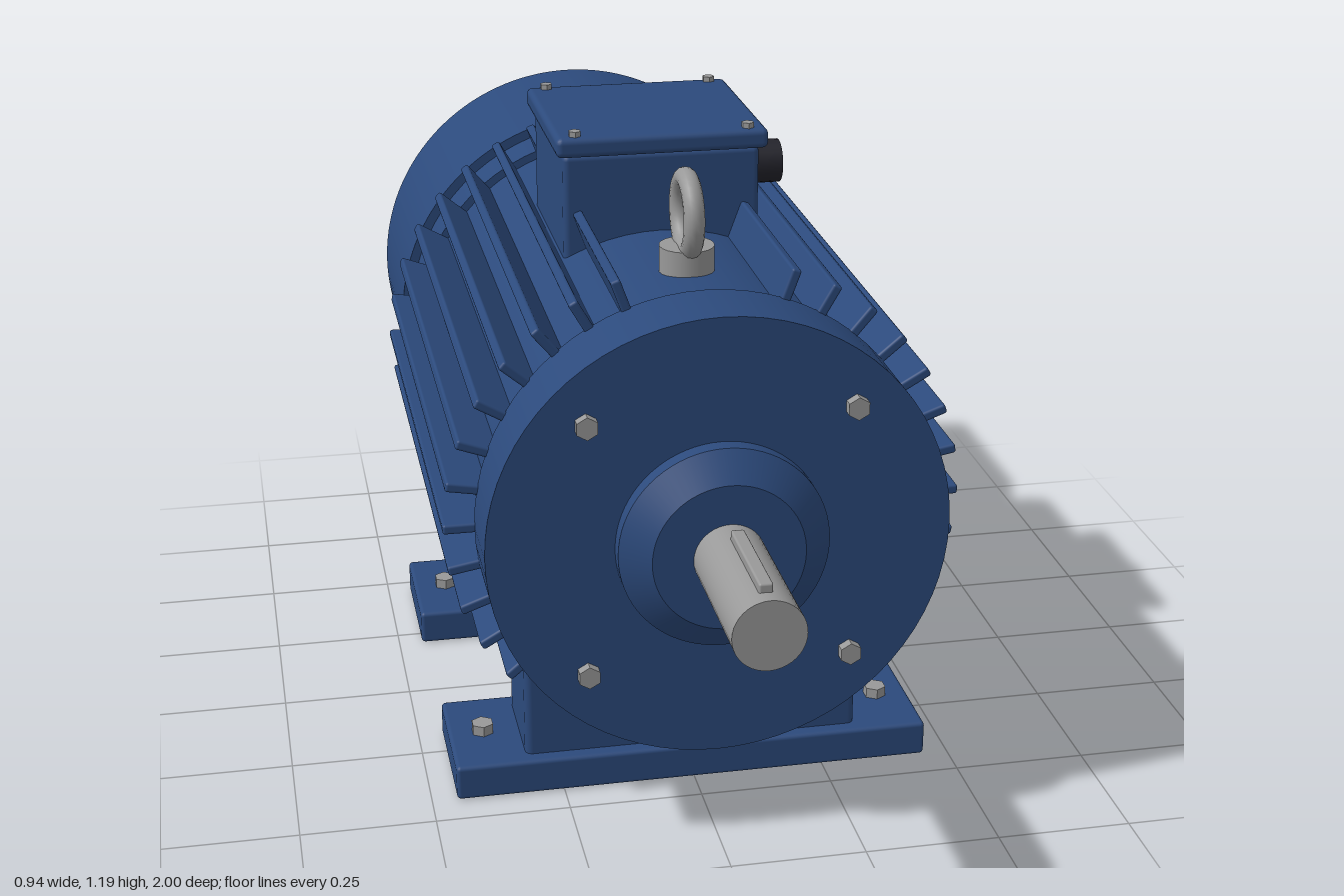
import * as THREE from 'three';
import { toCreasedNormals } from 'three/addons/utils/BufferGeometryUtils.js';
import { RoundedBoxGeometry } from 'three/addons/geometries/RoundedBoxGeometry.js';

const AXIS_Y = 0.59; // height of the shaft axis

export function createModel() {
  const model = new THREE.Group();
  model.name = 'electricMotor';

  const material = (name, color) => {
    const m = new THREE.MeshStandardMaterial({ color });
    m.name = name;
    return m;
  };
  const blue = material('bluePaint', 0x2c4a7c);
  const steel = material('steel', 0x999999);
  const black = material('blackPlastic', 0x24242c);
  const dark = material('grilleDark', 0x1c1c22);

  const add = (name, geometry, mat, x = 0, y = 0, z = 0, parent = model) => {
    const mesh = new THREE.Mesh(geometry, mat);
    mesh.name = name;
    mesh.position.set(x, y, z);
    parent.add(mesh);
    return mesh;
  };
  const box = (w, h, d, r = 0.008) => new RoundedBoxGeometry(w, h, d, 2, r);
  // Cylinder along z between two stations, with a front and a back radius
  const barrel = (name, zBack, zFront, rBack, rFront = rBack, mat = blue, sides = 72) => {
    const g = new THREE.CylinderGeometry(rFront, rBack, zFront - zBack, sides).rotateX(Math.PI / 2);
    return add(name, g, mat, 0, AXIS_Y, (zFront + zBack) / 2);
  };
  const hexHead = (r, h) => toCreasedNormals(new THREE.CylinderGeometry(r, r, h, 6), 0.5);

  // Main housing, end bells and shaft
  barrel('statorBody', -0.51, 0.51, 0.397);
  barrel('frontEndBell', 0.497, 0.638, 0.413);
  barrel('rearEndBell', -0.63, -0.503, 0.413);
  barrel('bearingHub', 0.63, 0.668, 0.187);
  barrel('bearingHubTaper', 0.668, 0.708, 0.187, 0.135);
  barrel('shaft', 0.69, 1, 0.063, 0.063, steel, 40);
  add('shaftKey', box(0.024, 0.03, 0.21, 0.004), steel, 0, AXIS_Y + 0.063, 0.865);

  // Cooling fins around both sides
  const fins = new THREE.Group();
  fins.name = 'coolingFins';
  fins.position.y = AXIS_Y;
  model.add(fins);
  const finGeometry = box(0.1, 0.018, 1.012, 0.005).translate(0.42, 0, 0);
  for (let deg = -40; deg <= 70; deg += 10) {
    for (const a of [deg, 180 - deg]) {
      add('coolingFin', finGeometry, blue, 0, 0, 0, fins).rotation.z = THREE.MathUtils.degToRad(a);
    }
  }

  // Bolts on the front end bell
  const bellBolt = hexHead(0.021, 0.03).rotateX(Math.PI / 2);
  for (const x of [-0.236, 0.236]) {
    for (const y of [-0.236, 0.236]) add('endBellBolt', bellBolt, steel, x, AXIS_Y + y, 0.642);
  }

  // Fan cover: open shell at the back
  const ring = new THREE.Shape().absarc(0, 0, 0.432, 0, Math.PI * 2);
  ring.holes.push(new THREE.Path().absarc(0, 0, 0.395, 0, Math.PI * 2, true));
  const shell = new THREE.ExtrudeGeometry(ring, { depth: 0.386, bevelEnabled: false, curveSegments: 72 });
  add('fanCover', toCreasedNormals(shell, 0.5), blue, 0, AXIS_Y, -0.99);
  barrel('grilleBacking', -0.98, -0.96, 0.398, 0.398, dark);

  // Fan grille: rings and diagonal bars
  const grille = new THREE.Group();
  grille.name = 'fanGrille';
  grille.position.set(0, AXIS_Y, -0.987);
  model.add(grille);
  for (const r of [0.07, 0.155, 0.24, 0.33]) {
    add('grilleRing', new THREE.TorusGeometry(r, 0.012, 8, 56), blue, 0, 0, 0, grille);
  }
  for (const a of [Math.PI / 4, -Math.PI / 4]) {
    add('grilleBar', box(0.79, 0.024, 0.02, 0.005), blue, 0, 0, 0, grille).rotation.z = a;
  }

  // Terminal box with lid, screws and cable gland
  const boxZ = -0.072;
  add('terminalBox', box(0.372, 0.22, 0.358, 0.012), blue, 0, 1.03, boxZ);
  add('terminalBoxLid', box(0.4, 0.038, 0.39, 0.012), blue, 0, 1.157, boxZ);
  for (const x of [-0.163, 0.163]) {
    for (const z of [-0.174, 0.174]) add('lidScrew', hexHead(0.012, 0.02), steel, x, 1.176, boxZ + z);
  }
  const gland = new THREE.CylinderGeometry(0.042, 0.042, 0.09, 20).rotateZ(Math.PI / 2);
  add('cableGland', gland, black, 0.221, 1.057, boxZ);

  // Lifting eye
  add('liftingEyeCollar', new THREE.CylinderGeometry(0.05, 0.05, 0.07, 20), steel, 0, 0.997, 0.333);
  const eye = new THREE.TorusGeometry(0.065, 0.019, 14, 36).rotateY(Math.PI / 2);
  add('liftingEye', eye, steel, 0, 1.089, 0.333);

  // Feet: pedestal, base plate and hold-down bolts
  for (const z of [0.306, -0.336]) {
    const foot = new THREE.Group();
    foot.name = z > 0 ? 'frontFoot' : 'rearFoot';
    foot.position.z = z;
    model.add(foot);
    add('basePlate', box(0.906, 0.068, 0.26), blue, 0, 0.034, 0, foot);
    add('pedestal', box(0.638, 0.31, 0.205, 0.014), blue, 0, 0.21, 0, foot);
    for (const x of [-0.388, 0.388]) add('footBolt', hexHead(0.022, 0.03), steel, x, 0.073, 0, foot);
  }

  return model;
}
